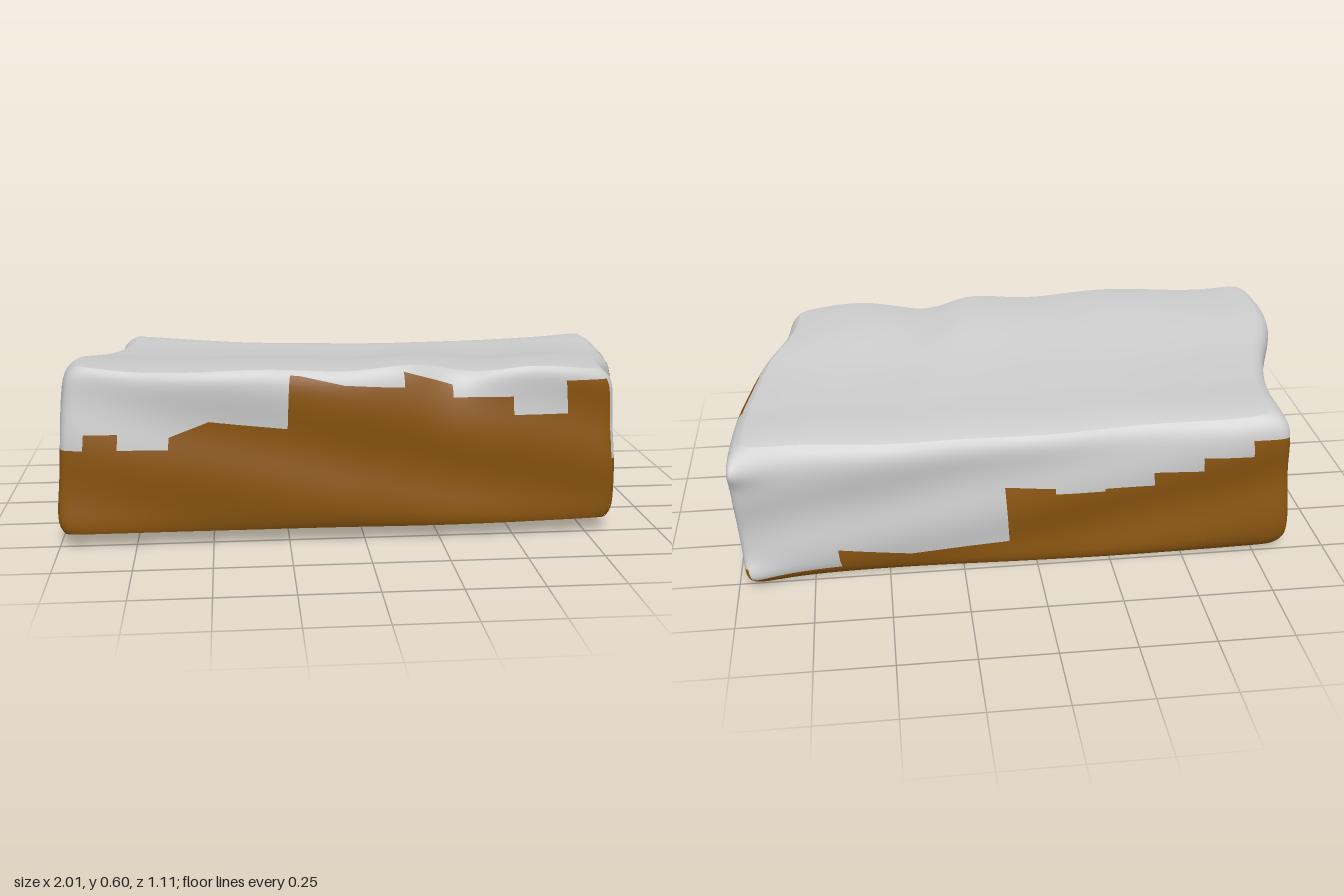
import * as THREE from 'three';

// Smooth curve through a few points: curve([x...], [y...])(x)
const curve = (xs, ys) => {
  const c = new THREE.CubicInterpolant(xs, ys, 1);
  return (x) => c.evaluate(x)[0];
};
const lerp = THREE.MathUtils.lerp;

// Skewed outline: side walls over depth, front and back walls over width
const leftWall = curve([-1, -0.4, 0, 0.5, 1], [-0.875, -0.875, -0.91, -0.995, -1.01]);
const rightWall = curve([-1, -0.3, 0.2, 0.6, 1], [1.012, 0.985, 0.94, 0.86, 0.85]);
const backWall = curve([-1, -0.5, 0, 0.7, 1], [-0.52, -0.497, -0.49, -0.5, -0.53]);
const frontWall = curve([-1, -0.35, 0, 0.4, 1], [0.545, 0.555, 0.55, 0.55, 0.53]);
// Height of the top rim over depth, and its ripple over width
const topDepth = curve([-1, -0.9, -0.4, 0, 0.55, 1], [0.505, 0.518, 0.52, 0.53, 0.565, 0.575]);
const ripple = curve([-1, -0.75, -0.3, 0, 0.25, 0.45, 0.7, 1],
  [0.02, -0.002, 0.008, -0.002, 0.015, -0.012, 0.01, -0.01]);

const bottomY = (a, c) => lerp(0, 0.052, ((c + 1) / 2) ** 2) + 0.02 * a * a * (1 - c) / 2;
// The top tilts up towards -x and sags along the middle of the back
const topY = (a, c) => topDepth(c) + ripple(a) * (0.5 + 0.5 * c)
  - 0.008 * a - 0.04 * (1 - a * a) * ((1 - c) / 2) ** 2;

// Maps the unit block (a across, h up, c deep) to the warped slab
function warp(a, h, c) {
  const back = (1 - c) / 2, front = 1 - back;
  // front corners lean in towards the top
  const xl = leftWall(c) + 0.03 * h * back + 0.05 * h * front ** 6;
  const xr = rightWall(c) - 0.035 * (1 - h) * back - 0.03 * h * front ** 4;
  const x = lerp(xl, xr, (a + 1) / 2) + 0.006 * a * a * Math.sin(h * 11 + c * 4) * (1 - c * c);
  // dip in the front rim
  const notch = 0.04 * Math.exp(-(((a - 0.38) / 0.13) ** 2)) * Math.max(h, 0) ** 8;
  const lean = 0.045 * h * Math.max(-a, 0) ** 3;
  // pinched tips at the back corner
  const tips = Math.exp(-(((h - 0.88) / 0.1) ** 2)) + Math.exp(-(((h - 0.04) / 0.1) ** 2));
  const flare = 0.045 * tips * Math.max(a, 0) ** 12 * back ** 6;
  const wave = 0.007 * Math.sin(h * 10 + a * 4) + 0.006 * h * Math.sin(a * 10);
  const z = lerp(backWall(a), frontWall(a) - notch - lean, front) - flare + wave * c * c;
  return new THREE.Vector3(x, lerp(bottomY(a, c), topY(a, c), h), z);
}

// Distance measure whose unit line is a nearly sharp square
const squareNorm = (a, c) => {
  const n = Math.max(Math.abs(a), Math.abs(c));
  return n ? n * ((a / n) ** 40 + (c / n) ** 40) ** (1 / 40) : 1;
};
// Inset of the top and bottom edges, softer towards the back
const inset = (c) => lerp(0.06, 0.045, (c + 1) / 2);

// Point on the outline; u runs 0..4 from the front corner at -x
function outline(u) {
  const p = (u + 4) % 4, side = Math.floor(p);
  const t = (p - side) * 2 - 1;
  const [a, c] = [[t, 1], [1, -t], [-t, -1], [-1, t]][side];
  const n = squareNorm(a, c);
  return [a / n, c / n];
}

// Surfaces: the wall band, the slightly domed top and the flat underside
const wall = (u, h) => {
  const [a, c] = outline(u);
  const bend = Math.abs(2 * h - 1) ** 10;
  const r = 1 - inset(c) * bend * (h > 0.5 ? 1 : 0.6);
  return warp(a * r, h, c * r);
};
const cap = (level, dome, soft) => (s, t) => {
  const c = -t, norm = squareNorm(s, c), n = Math.max(Math.abs(s), Math.abs(c));
  const k = n * (1 - inset(c / norm) * soft) / norm;
  return warp(s * k, level + dome * (1 - n ** 10), c * k);
};
const square = (s, t) => [s * 2 - 1, t * 2 - 1];

// Collects patches of a surface with normals taken from the surface itself
class Skin {
  constructor() { this.pos = []; this.nor = []; this.idx = []; }
  patch(surface, at, nu, nv, flip = 1) {
    const first = this.pos.length / 3, e = 0.004;
    for (let j = 0; j <= nv; j++) for (let i = 0; i <= nu; i++) {
      const [u, v] = at(i / nu, j / nv);
      const du = surface(u + e, v).sub(surface(u - e, v));
      const dv = surface(u, v + e).sub(surface(u, v - e));
      this.pos.push(...surface(u, v).toArray());
      this.nor.push(...du.cross(dv).multiplyScalar(flip).normalize().toArray());
    }
    for (let j = 0; j < nv; j++) for (let i = 0; i < nu; i++) {
      const p = first + j * (nu + 1) + i, q = p + nu + 1;
      if (flip > 0) this.idx.push(p, p + 1, q + 1, p, q + 1, q);
      else this.idx.push(p, q + 1, p + 1, p, q, q + 1);
    }
  }
  mesh(name, color) {
    const g = new THREE.BufferGeometry();
    g.setAttribute('position', new THREE.Float32BufferAttribute(this.pos, 3));
    g.setAttribute('normal', new THREE.Float32BufferAttribute(this.nor, 3));
    g.setIndex(this.idx);
    const m = new THREE.Mesh(g, new THREE.MeshStandardMaterial({ color }));
    m.name = name;
    return m;
  }
}

// Stepped edge of the covering per wall: [end of step, height at start, height at end]
const steps = [
  [[0.04, 0.33, 0.33], [0.1, 0.38, 0.38], [0.19, 0.33, 0.33], [0.26, 0.37, 0.42], [0.4, 0.42, 0.39],
    [0.5, 0.57, 0.53], [0.61, 0.53, 0.52], [0.7, 0.57, 0.52], [0.81, 0.48, 0.48],
    [0.91, 0.42, 0.42], [1, 0.53, 0.53]],
  [[0.29, 0.26, 0.245], [0.39, 0.3, 0.3], [0.5, 0.505, 0.505],
    [0.6, 0.535, 0.535], [0.71, 0.5, 0.5], [0.91, 0.04, 0.04], [1, 0.08, 0.08]],
  [[0.17, 0.04, 0.04], [0.3, 0.11, 0.07], [0.48, 0.07, 0.09], [0.57, 0.3, 0.29], [0.66, 0.27, 0.27],
    [0.75, 0.28, 0.28], [0.84, 0.33, 0.33], [0.93, 0.38, 0.38], [1, 0.44, 0.44]],
  [[0.4, 0.44, 0.37], [0.65, 0.36, 0.36], [0.9, 0.35, 0.32], [1, 0.33, 0.33]],
];

export function createModel() {
  const group = new THREE.Group();
  group.name = 'coveredSlab';
  const base = new Skin(), cover = new Skin();

  // Walls, split at the stepped edge
  steps.forEach((list, side) => {
    let start = 0;
    for (const [end, y0, y1] of list) {
      const from = start;
      const uAt = (s) => side + lerp(from, end, s);
      const cut = (s) => {
        const [a, c] = outline(uAt(s));
        const lo = bottomY(a, c), hi = topY(a, c);
        return THREE.MathUtils.clamp((lerp(y0, y1, s) - lo) / (hi - lo), 0.03, 0.97);
      };
      const n = Math.max(5, Math.ceil((end - from) * 80));
      base.patch(wall, (s, t) => [uAt(s), cut(s) * t], n, 30);
      cover.patch(wall, (s, t) => [uAt(s), lerp(cut(s), 1, t)], n, 30);
      start = end;
    }
  });

  // Top and underside
  cover.patch(cap(1, 0.01, 1), square, 80, 80);
  base.patch(cap(0, 0, 0.6), square, 80, 80, -1);

  group.add(base.mesh('base', 0x8a5510), cover.mesh('cover', 0xcccccc));
  return group;
}
